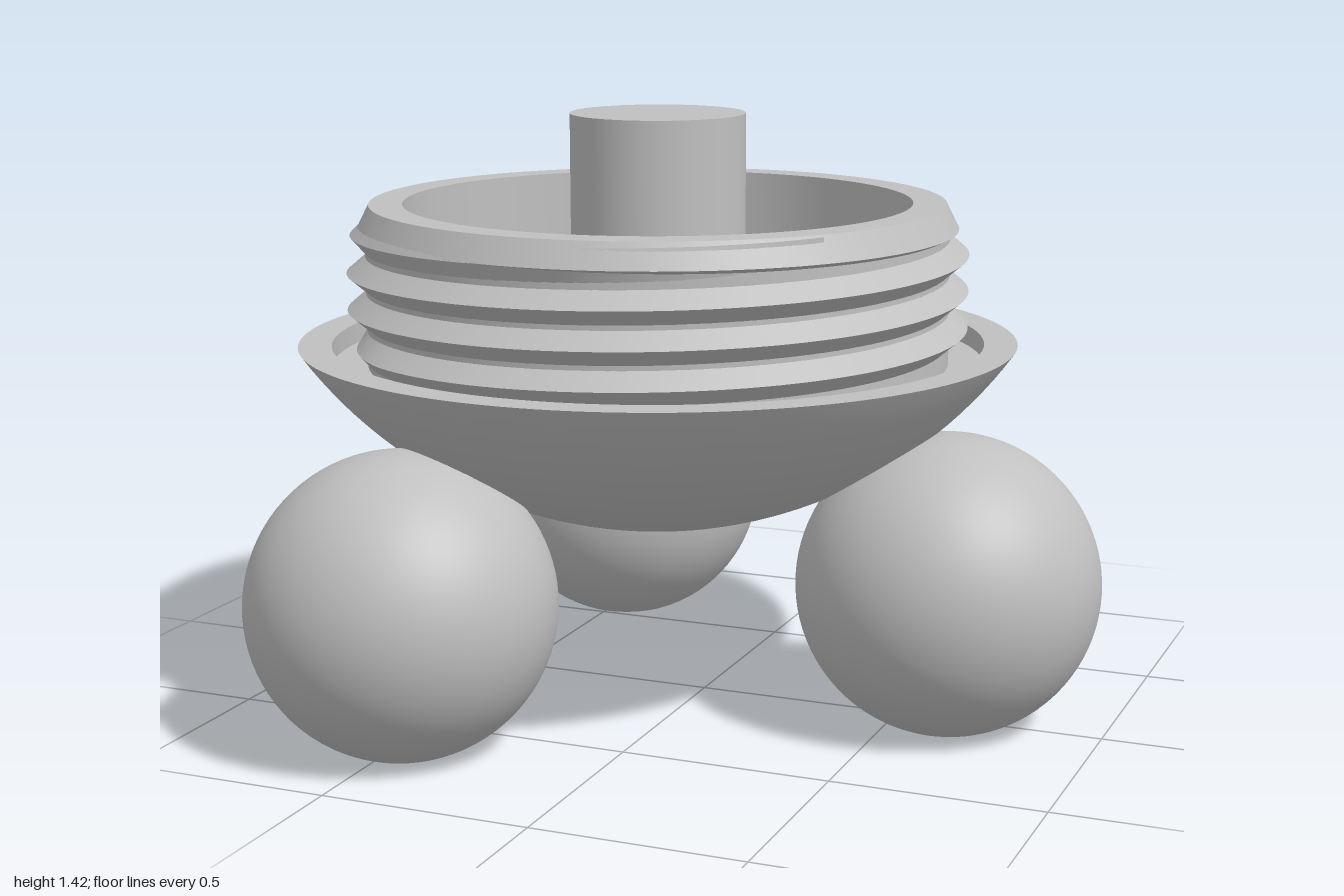
import * as THREE from 'three';
import { toCreasedNormals } from 'three/addons/utils/BufferGeometryUtils.js';

const AXIS_X = -0.12;

export function createModel() {
  const model = new THREE.Group();
  model.name = 'threadedBowlOnBalls';
  const grey = new THREE.MeshStandardMaterial({ color: 0xc0c0c0 });
  grey.name = 'grey';

  const body = new THREE.Group();
  body.name = 'body';
  body.position.x = AXIS_X;
  model.add(body);

  const add = (parent, name, geometry) => {
    const mesh = new THREE.Mesh(geometry, grey);
    mesh.name = name;
    parent.add(mesh);
    return mesh;
  };
  const turned = (points) => toCreasedNormals(
    new THREE.LatheGeometry(points.map(([r, y]) => new THREE.Vector2(r, y)), 128), 0.4);

  // Points on a circular arc, from low to high
  const arc = (radius, centreY, from, to, steps) => Array.from({ length: steps + 1 }, (_, i) => {
    const a = from + (to - from) * i / steps;
    return [Math.max(0, radius * Math.sin(a)), centreY - radius * Math.cos(a)];
  });

  // Shallow spherical bowl with a flat rim and a groove around the neck
  add(body, 'bowl', turned([
    ...arc(1.056, 1.481, 0, Math.asin(0.865 / 1.056), 28),
    [0.785, 0.875], [0.785, 0.825], [0.7, 0.825],
  ]));

  // Hollow neck with chamfered lip, inner ledge and floor
  add(body, 'neck', turned([
    [0.7, 0.825], [0.7, 1.14], [0.72, 1.15], [0.69, 1.21], [0.61, 1.21],
    [0.61, 0.9], [0.51, 0.9], [0.51, 0.65], [0, 0.65],
  ]));

  add(body, 'screwThread', threadGeometry());

  // Solid centre post
  const post = add(body, 'centrePost', new THREE.CylinderGeometry(0.21, 0.21, 0.77, 64));
  post.position.y = 1.035;

  // Three ball feet with flattened bottoms
  const R = 0.36, cy = 0.336;
  const footGeometry = turned([[0, 0], ...arc(R, cy, Math.acos(cy / R), Math.PI, 40)]);
  for (let i = 0; i < 3; i++) {
    const a = i * Math.PI * 2 / 3;
    const foot = add(model, 'ballFoot' + (i + 1), footGeometry);
    foot.position.set(AXIS_X + 0.74 * Math.cos(a), 0, 0.74 * Math.sin(a));
  }
  return model;
}

// V-shaped ridge swept along a right-handed helix, tapering at both ends
function threadGeometry() {
  const root = 0.698, crest = 0.745, half = 0.04, pitch = 0.088, startY = 0.866;
  const turns = 3.4, steps = 420;
  const positions = [], index = [];
  for (let i = 0; i <= steps; i++) {
    const turn = turns * i / steps, a = turn * Math.PI * 2;
    const taper = Math.min(1, turn / 0.15, (turns - turn) / 0.4);
    const y = startY + pitch * turn;
    const tip = root + (crest - root) * taper;
    const section = [[root, y - half], [tip, y], [tip, y], [root, y + half]];
    for (const [r, h] of section) positions.push(-r * Math.cos(a), h, r * Math.sin(a));
    if (i === steps) break;
    for (const k of [0, 2]) {
      const p = i * 4 + k, q = p + 4;
      index.push(p, q, q + 1, p, q + 1, p + 1);
    }
  }
  const geometry = new THREE.BufferGeometry();
  geometry.setAttribute('position', new THREE.Float32BufferAttribute(positions, 3));
  geometry.setIndex(index);
  geometry.computeVertexNormals();
  return geometry;
}
